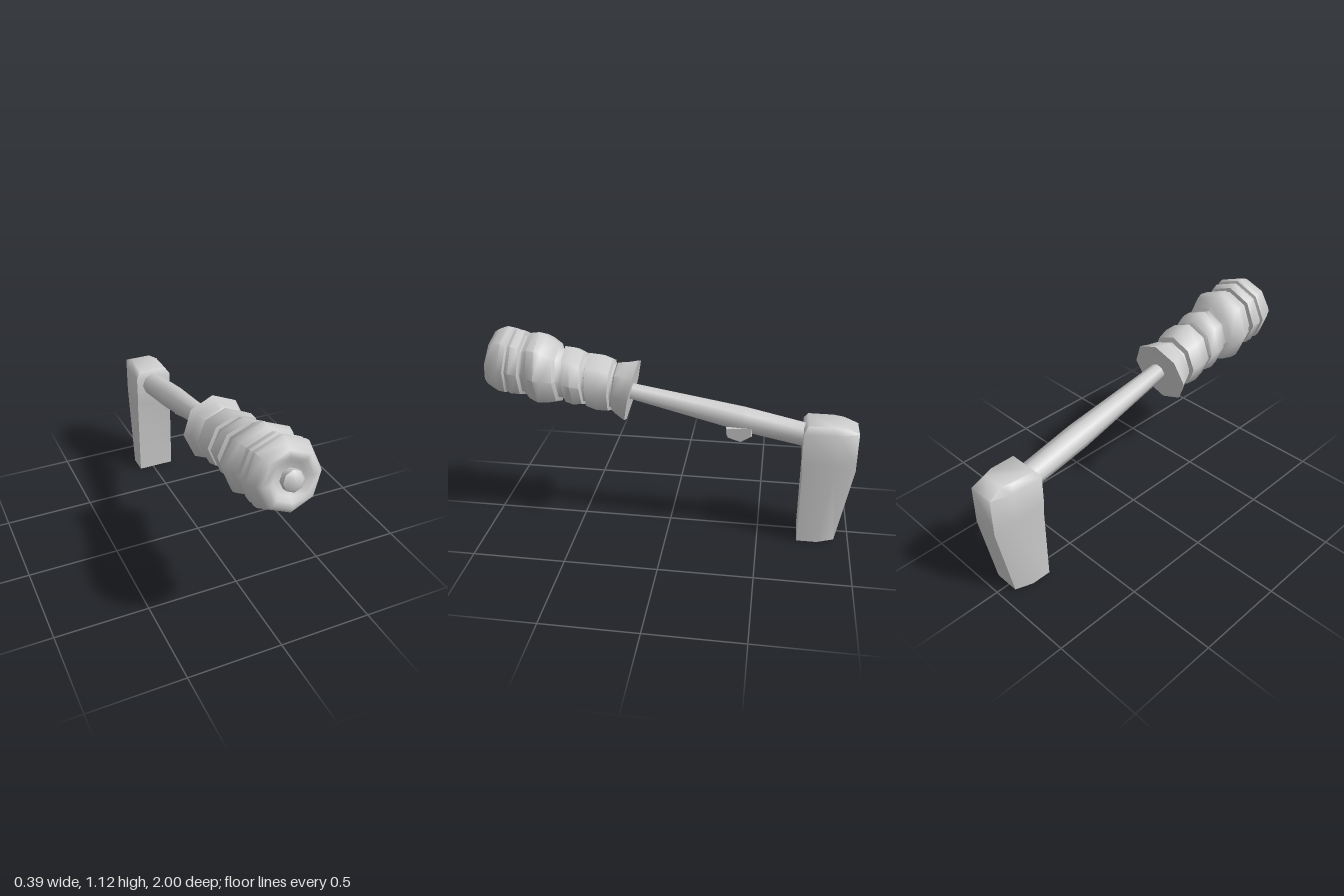
import * as THREE from 'three';
import { toCreasedNormals } from 'three/addons/utils/BufferGeometryUtils.js';

const material = new THREE.MeshStandardMaterial({ color: 0xcccccc });
const TILT = 0.205; // rise of the shaft towards the grip

function addMesh(parent, name, geometry, crease) {
  const mesh = new THREE.Mesh(toCreasedNormals(geometry, crease), material);
  mesh.name = name;
  parent.add(mesh);
  return mesh;
}

// Eight-sided lathe; each profile point is [position, radius, slant of the ring]
function slantedLathe(profile) {
  const points = profile.map(([t, r]) => new THREE.Vector2(r, t));
  const geometry = new THREE.LatheGeometry(points, 8);
  const pos = geometry.attributes.position;
  for (let i = 0; i < pos.count; i++) {
    const slant = profile[i % profile.length][2] || 0;
    pos.setY(i, pos.getY(i) - slant * pos.getZ(i));
  }
  return geometry;
}

// Closed loft through horizontal rings of [x, y, z] corners
function loft(rings) {
  const n = rings[0].length;
  const index = [];
  for (let r = 0; r < rings.length - 1; r++) {
    for (let i = 0; i < n; i++) {
      const a = r * n + i, b = r * n + (i + 1) % n;
      index.push(a, b, a + n, b, b + n, a + n);
    }
  }
  const top = (rings.length - 1) * n;
  for (let i = 1; i < n - 1; i++) {
    index.push(top, top + i, top + i + 1, 0, i + 1, i);
  }
  const geometry = new THREE.BufferGeometry();
  geometry.setAttribute('position', new THREE.Float32BufferAttribute(rings.flat(2), 3));
  geometry.setIndex(index);
  return geometry;
}

export function createModel() {
  const model = new THREE.Group();
  model.name = 'crankHandle';

  // Upright socket: flat front, rounded back, tapering to its foot
  const socketRing = ([y, front, side, back, inset]) => [
    [-0.085 + inset, y, front], [0.128 - inset, y, front],
    [0.128 - inset, y, side], [0.09 - inset * 0.5, y, back],
    [-0.052 + inset * 0.5, y, back], [-0.085 + inset, y, side],
  ];
  addMesh(model, 'socket', loft([
    [0, -0.72, -0.83, -0.922, 0],
    [0.44, -0.72, -0.89, -1, 0],
    [0.485, -0.714, -0.89, -1, 0],
    [0.655, -0.714, -0.89, -1, 0],
    [0.692, -0.735, -0.87, -0.925, 0.025],
  ].map(socketRing)), 1.2);

  // Tilted arm carrying the shaft and the grip
  const arm = new THREE.Group();
  arm.name = 'arm';
  arm.position.set(0.005, 0.753, 0);
  arm.rotation.x = Math.PI / 2 - TILT;
  model.add(arm);

  const shaft = addMesh(arm, 'shaft', slantedLathe([
    [-0.77, 0], [-0.77, 0.066], [-0.4, 0.07], [0.22, 0.045], [0.22, 0],
  ]), 0.9);
  shaft.position.x = 0.012;

  // Grip: flared guard, slanted wrappings and a recessed end
  addMesh(arm, 'grip', slantedLathe([
    [0.215, 0], [0.21, 0.176], [0.26, 0.154], [0.3, 0.137, 0.1],
    [0.307, 0.122, 0.12], [0.318, 0.122, 0.13], [0.325, 0.147, 0.15],
    [0.385, 0.158, 0.17], [0.448, 0.15, 0.2],
    [0.454, 0.126, 0.2], [0.468, 0.126, 0.22], [0.476, 0.147, 0.23],
    [0.525, 0.16, 0.25], [0.568, 0.155, 0.25],
    [0.574, 0.132, 0.25], [0.606, 0.138, 0.25], [0.618, 0.164, 0.25],
    [0.675, 0.19, 0.22], [0.71, 0.197, 0.21], [0.755, 0.184, 0.2],
    [0.785, 0.156, 0.2], [0.797, 0.156, 0.18], [0.805, 0.177, 0.16],
    [0.85, 0.185, 0.12], [0.872, 0.172, 0.1], [0.88, 0.186, 0.1],
    [0.91, 0.187, 0.08], [0.965, 0.163], [0.99, 0.14], [0.992, 0.108],
    [0.97, 0.084], [0.97, 0],
  ]), 0.9);

  // Domed stud in the end of the grip
  const stud = addMesh(arm, 'endStud', slantedLathe([
    [0.96, 0], [0.96, 0.053], [1.003, 0.053], [1.016, 0.035], [1.021, 0],
  ]), 0.9);
  stud.position.x = 0.003;

  // Small hooked tab under the shaft
  const tabShape = new THREE.Shape([
    [0.306, 0.64], [0.306, 0.606], [0.316, 0.58], [0.386, 0.558],
    [0.445, 0.595], [0.445, 0.65],
  ].map(([x, y]) => new THREE.Vector2(x, y)));
  const tab = addMesh(model, 'tab', new THREE.ExtrudeGeometry(tabShape, {
    depth: 0.035, bevelEnabled: true, bevelSize: 0.006, bevelOffset: -0.006,
    bevelThickness: 0.01, bevelSegments: 1,
  }), 0.6);
  tab.rotation.y = Math.PI / 2;
  tab.position.x = 0.035;

  return model;
}
